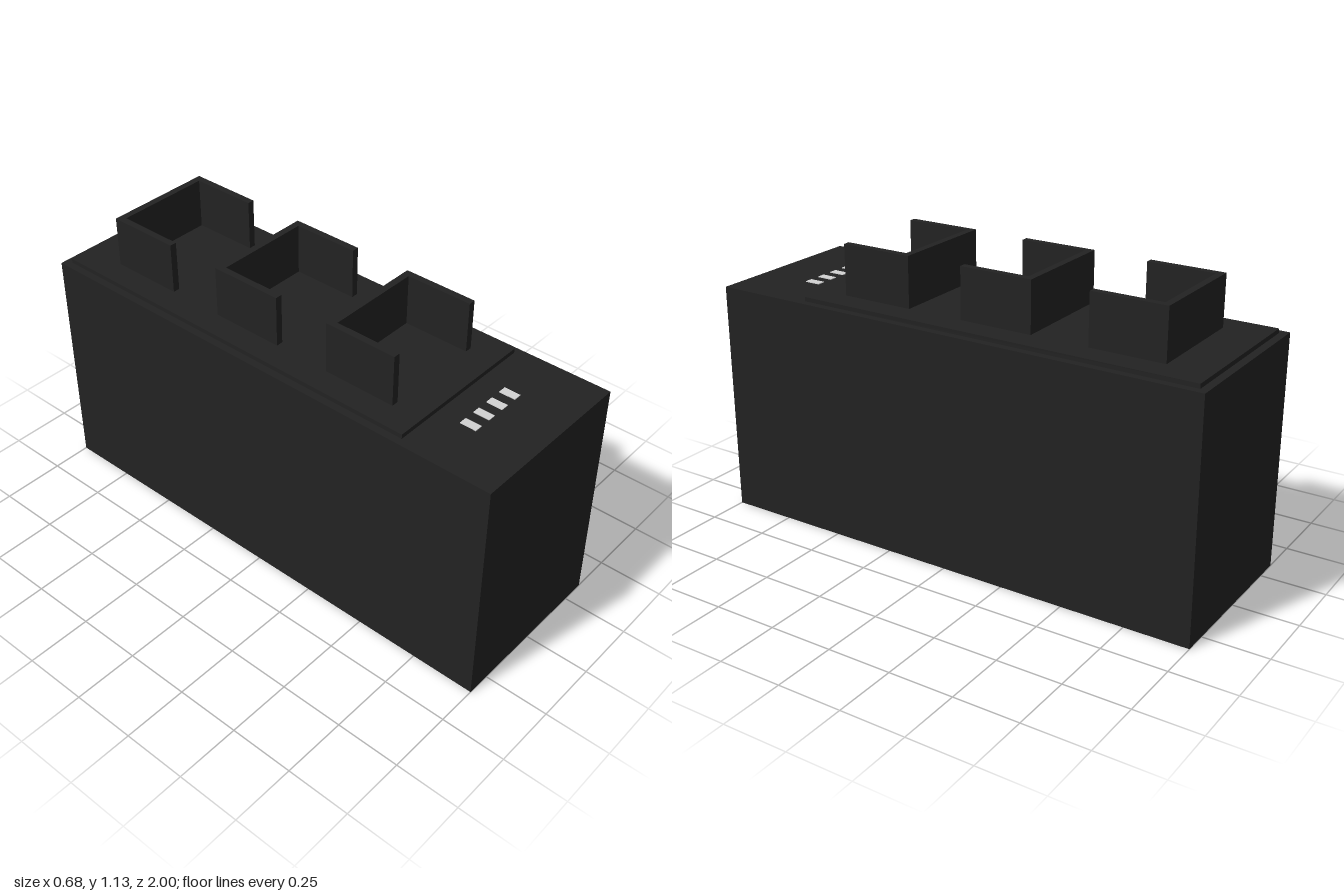
import * as THREE from 'three';

export function createModel() {
  const model = new THREE.Group();
  const black = new THREE.MeshStandardMaterial({ color: 0x222222 });
  black.name = 'matte black';
  const light = new THREE.MeshStandardMaterial({ color: 0xd2d2d2 });
  light.name = 'indicator white';

  // Box from its minimum and maximum corners
  const box = (name, material, [x0, y0, z0], [x1, y1, z1]) => {
    const mesh = new THREE.Mesh(new THREE.BoxGeometry(x1 - x0, y1 - y0, z1 - z0), material);
    mesh.position.set((x0 + x1) / 2, (y0 + y1) / 2, (z0 + z1) / 2);
    mesh.name = name;
    model.add(mesh);
  };

  const bodyTop = 0.914, plateTop = 0.931, wallTop = 1.128;

  box('body', black, [-0.342, 0, -1], [0.342, bodyTop, 1]);
  box('topPlate', black, [-0.313, bodyTop, -0.97], [0.313, plateTop, 0.63]);

  // U-shaped holders, open toward the front; shape y becomes -z
  const w = 0.216, d = 0.289, t = 0.027;
  const outline = new THREE.Shape([
    [-w, 0], [-w + t, 0], [-w + t, d - t], [w - t, d - t],
    [w - t, 0], [w, 0], [w, d], [-w, d],
  ].map(([x, y]) => new THREE.Vector2(x, y)));
  const holder = new THREE.ExtrudeGeometry(outline, { depth: wallTop - plateTop, bevelEnabled: false });
  holder.rotateX(-Math.PI / 2);
  [0.513, -0.001, -0.515].forEach((z, i) => {
    const mesh = new THREE.Mesh(holder, black);
    mesh.position.set(0, plateTop, z);
    mesh.name = `holder${i + 1}`;
    model.add(mesh);
  });

  // Row of four indicator marks near the front
  for (let i = 0; i < 4; i++) {
    const x = (i - 1.5) * 0.073;
    box(`indicator${i + 1}`, light, [x - 0.016, bodyTop, 0.722], [x + 0.016, bodyTop + 0.003, 0.786]);
  }
  return model;
}
